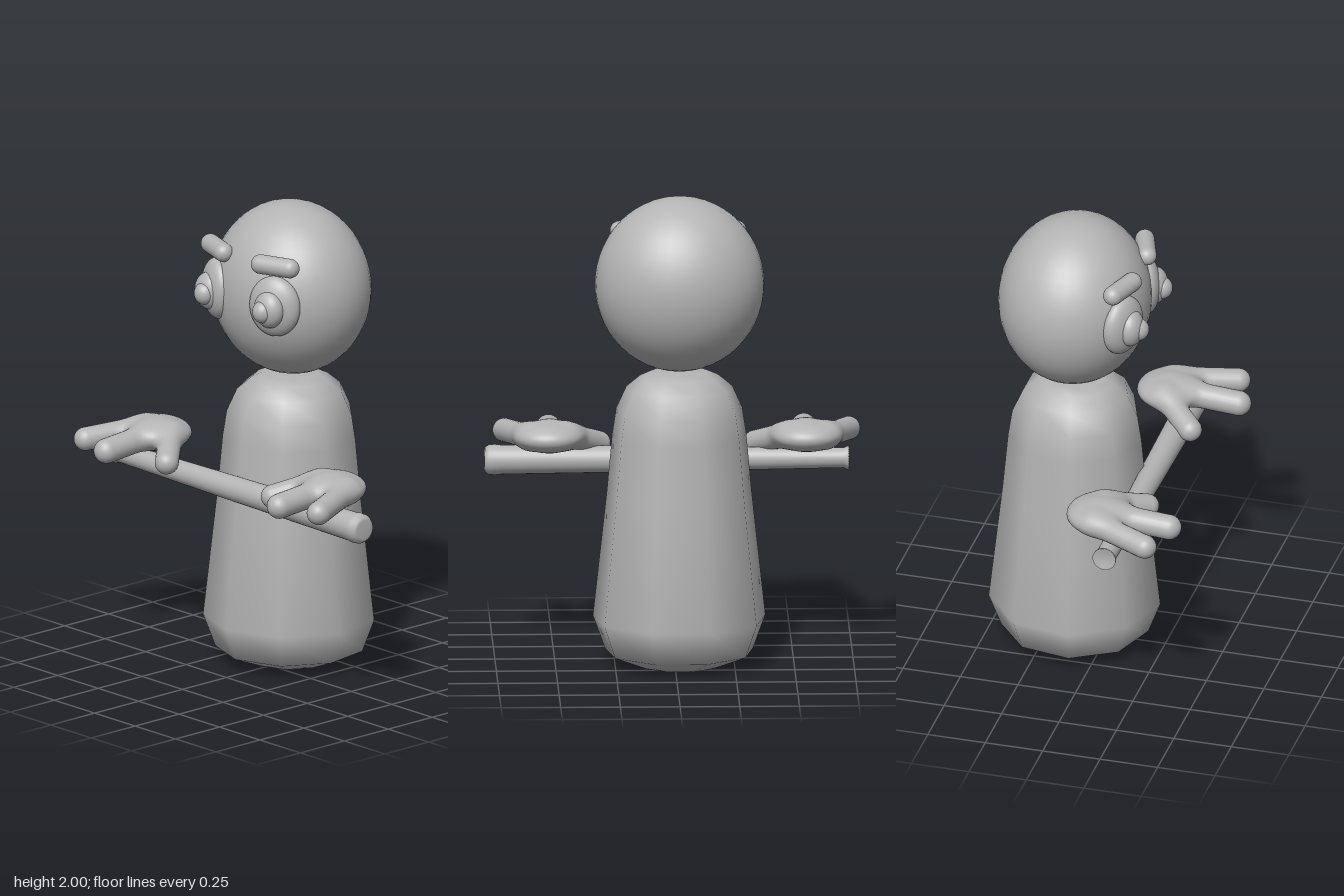
import * as THREE from 'three';

const clay = new THREE.MeshStandardMaterial({ color: 0xb4b4b4 });
clay.name = 'clay grey';
const V = (x, y, z) => new THREE.Vector3(x, y, z);
const MID = -0.02; // mirror plane of the figure

function add(parent, name, geo, pos = V(0, 0, 0)) {
  const m = new THREE.Mesh(geo, clay);
  m.name = name;
  m.position.copy(pos);
  parent.add(m);
  return m;
}

const lathe = (pts, sides) =>
  new THREE.LatheGeometry(pts.map(p => new THREE.Vector2(p[0], p[1])), sides);

const ball = (rx, ry, rz) => new THREE.SphereGeometry(1, 40, 28).scale(rx, ry, rz);

// Capsule between two points
function capsule(a, b, r) {
  const d = b.clone().sub(a);
  const g = new THREE.CapsuleGeometry(r, d.length(), 10, 24, 12);
  g.applyQuaternion(new THREE.Quaternion().setFromUnitVectors(V(0, 1, 0), d.normalize()));
  const c = a.clone().add(b).multiplyScalar(0.5);
  return g.translate(c.x, c.y, c.z);
}

// Hand, relative to the palm centre; x grows toward the thumb side
const PALM = { c: V(0, 0, 0), r: V(0.145, 0.066, 0.14) };
const FINGERS = [
  { name: 'outerFinger', a: V(-0.085, 0.0, 0.0), b: V(-0.18, -0.022, 0.245), r: 0.05 },
  { name: 'middleFinger', a: V(0.005, 0.0, 0.0), b: V(0.005, -0.022, 0.298), r: 0.053 },
  { name: 'innerFinger', a: V(0.08, 0.005, 0.0), b: V(0.212, -0.058, 0.145), r: 0.05 },
];

// Smoothly blended distance to the palm and fingers
function handDistance(p) {
  const q = p.clone().sub(PALM.c).divide(PALM.r);
  const k0 = q.length(), k1 = q.clone().divide(PALM.r).length();
  let d = k1 > 1e-6 ? k0 * (k0 - 1) / k1 : -0.066;
  for (const f of FINGERS) {
    const ab = f.b.clone().sub(f.a), ap = p.clone().sub(f.a);
    const t = THREE.MathUtils.clamp(ap.dot(ab) / ab.lengthSq(), 0, 1);
    const e = ap.addScaledVector(ab, -t).length() - f.r;
    const k = 0.035, h = Math.max(k - Math.abs(d - e), 0) / k;
    d = Math.min(d, e) - h * h * k / 4;
  }
  return d;
}

function gradient(p) {
  const e = 0.002;
  const s = (x, y, z) => handDistance(V(p.x + x, p.y + y, p.z + z)) -
    handDistance(V(p.x - x, p.y - y, p.z - z));
  return V(s(e, 0, 0), s(0, e, 0), s(0, 0, e)).normalize();
}

// Pull each vertex onto the blended hand surface
function blend(geo) {
  const pos = geo.attributes.position, nor = geo.attributes.normal, p = V(0, 0, 0);
  for (let i = 0; i < pos.count; i++) {
    p.fromBufferAttribute(pos, i);
    for (let n = 0; n < 8; n++) p.addScaledVector(gradient(p), -handDistance(p));
    pos.setXYZ(i, p.x, p.y, p.z);
    const g = gradient(p);
    nor.setXYZ(i, g.x, g.y, g.z);
  }
  return geo;
}

// Mirror a geometry in x, keeping its faces outward
function mirrored(geo) {
  const g = geo.clone().scale(-1, 1, 1);
  const idx = g.index;
  for (let i = 0; i < idx.count; i += 3) {
    const t = idx.getX(i);
    idx.setX(i, idx.getX(i + 2));
    idx.setX(i + 2, t);
  }
  return g;
}

export function createModel() {
  const model = new THREE.Group();
  model.name = 'figure';

  // Nine-sided tapering body
  add(model, 'body', lathe([
    [0, 0], [0.165, 0], [0.315, 0.06], [0.367, 0.2], [0.308, 0.73], [0.285, 0.98],
    [0.268, 1.09], [0.225, 1.185], [0.165, 1.235], [0.12, 1.255], [0, 1.26],
  ], 9), V(MID, 0, -0.133));

  add(model, 'head', ball(0.355, 0.37, 0.32), V(MID, 1.63, -0.137));

  // Bar with a flared thin end and a rounded thick end
  const bar = lathe([
    [0, -0.73], [0.035, -0.73], [0.05, -0.74], [0.05, -0.732], [0.042, -0.715],
    [0.053, 0], [0.062, 0.72], [0.065, 0.745], [0.063, 0.77], [0.053, 0.786],
    [0.04, 0.79], [0, 0.79],
  ], 28).rotateZ(-Math.PI / 2);
  add(model, 'bar', bar, V(0, 0.813, 0.193));

  const handParts = [
    ['palm', blend(ball(PALM.r.x, PALM.r.y, PALM.r.z))],
    ...FINGERS.map(f => [f.name, blend(capsule(f.a, f.b, f.r))]),
  ];

  for (const side of [-1, 1]) {
    const label = side < 0 ? 'right' : 'left';

    // Bulging eye turned slightly outward
    const eye = new THREE.Group();
    eye.name = label + 'Eye';
    eye.position.set(MID + side * 0.178, 1.635, 0.12);
    const white = add(eye, 'eyeball', ball(0.113, 0.13, 0.06));
    white.rotation.y = side * 0.42;
    add(eye, 'iris', ball(0.072, 0.08, 0.055), V(side * 0.006, -0.005, 0.038));
    add(eye, 'pupil', ball(0.045, 0.048, 0.045), V(side * 0.002, -0.01, 0.07));
    model.add(eye);

    // Eyebrow
    add(model, label + 'Eyebrow', capsule(
      V(MID + side * 0.245, 1.81, 0.097), V(MID + side * 0.115, 1.81, 0.143), 0.041));

    // Hand resting on the bar
    const hand = new THREE.Group();
    hand.name = label + 'Hand';
    hand.position.set(MID + side * 0.54, 0.925, 0.125);
    for (const [name, geo] of handParts) add(hand, name, side < 0 ? geo : mirrored(geo));
    model.add(hand);
  }
  return model;
}
